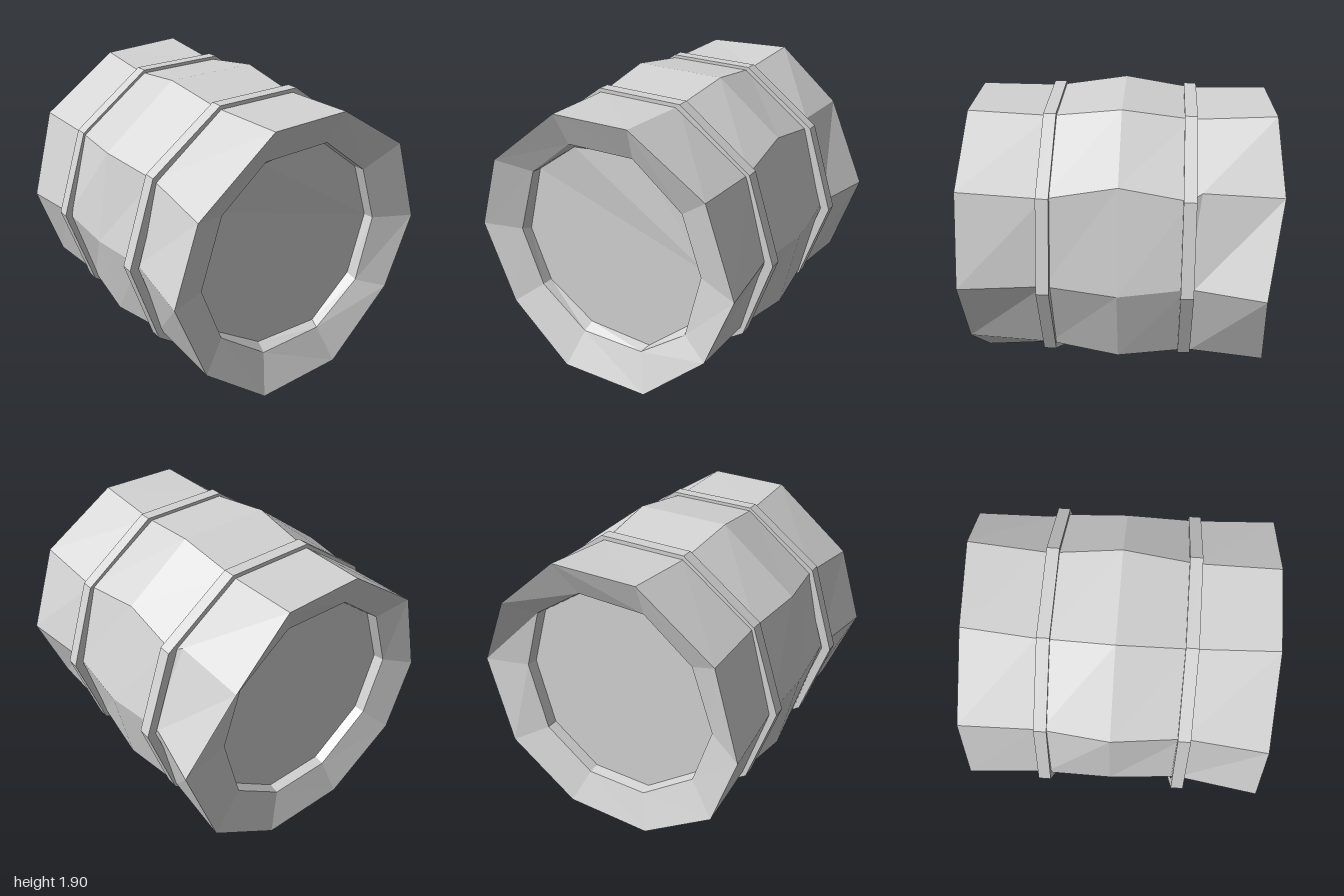
import * as THREE from 'three';

// Cross-sections: ten corners each, counter-clockwise from +x, as [x, y, z?]
const frontFloor = [[0.66, 0.99], [0.53, 1.375], [0.2, 1.635], [-0.26, 1.6, 0.84], [-0.58, 1.37], [-0.71, 0.9], [-0.57, 0.535], [-0.23, 0.31], [0.24, 0.295], [0.545, 0.57]];
const frontMouth = [[0.665, 0.99], [0.535, 1.375], [0.2, 1.64], [-0.27, 1.63], [-0.58, 1.375], [-0.725, 0.92], [-0.58, 0.53], [-0.24, 0.27], [0.22, 0.28], [0.555, 0.54]];
const frontRim = [[0.94, 0.97], [0.745, 1.54], [0.24, 1.86], [-0.29, 1.85], [-0.81, 1.44], [-0.975, 0.94], [-0.76, 0.39], [-0.32, 0.03, 1], [0.3, 0.03], [0.75, 0.47]];
const frontWaist = [[0.88, 0.97], [0.735, 1.505], [0.25, 1.84], [-0.31, 1.84], [-0.77, 1.49], [-0.9, 0.95], [-0.76, 0.42], [-0.3, 0.075], [0.27, 0.075], [0.74, 0.43]];
const belly = [[0.9, 0.92], [0.705, 1.575], [0.28, 1.9], [-0.34, 1.9], [-0.83, 1.52], [-0.93, 0.92], [-0.81, 0.36], [-0.32, 0], [0.31, 0.01], [0.79, 0.375]];
const backWaist = [[0.87, 0.97], [0.72, 1.505], [0.26, 1.84], [-0.31, 1.84], [-0.78, 1.5], [-0.93, 0.94], [-0.77, 0.41], [-0.3, 0.075], [0.27, 0.075], [0.75, 0.41]];
const backDent = backWaist.map((p, i) => (i === 1 ? [0.68, 1.54, -0.505] : p));
const backRim = [[0.975, 0.97, -0.91], [0.68, 1.52, -1], [0.28, 1.875, -0.965], [-0.28, 1.86, -0.935], [-0.79, 1.5], [-0.955, 0.9], [-0.79, 0.39], [-0.3, 0.04], [0.3, 0.04], [0.78, 0.38]];
const backMouth = [[0.65, 1.0], [0.52, 1.43], [0.18, 1.66], [-0.28, 1.65], [-0.6, 1.4], [-0.74, 0.98], [-0.61, 0.57], [-0.24, 0.285], [0.19, 0.28], [0.53, 0.53]];

const ring = (pts, z) => pts.map(([x, y, pz = z]) => [x, y, pz]);

function geometryFrom(positions) {
  const g = new THREE.BufferGeometry();
  g.setAttribute('position', new THREE.Float32BufferAttribute(positions.flat(), 3));
  g.computeVertexNormals();
  return g;
}

// Skin through successive rings, ordered from front to back
function loft(rings) {
  const out = [];
  for (let r = 0; r < rings.length - 1; r++) {
    const a = rings[r], b = rings[r + 1], n = a.length;
    for (let i = 0; i < n; i++) {
      const j = (i + 1) % n;
      out.push(a[i], b[i], b[j], a[i], b[j], a[j]);
    }
  }
  return geometryFrom(out);
}

// Fan across a ring; dir is 1 facing front, -1 facing back
function lid(pts, dir) {
  const out = [];
  for (let i = 1; i < pts.length - 1; i++) {
    out.push(pts[0], ...(dir > 0 ? [pts[i], pts[i + 1]] : [pts[i + 1], pts[i]]));
  }
  return geometryFrom(out);
}

export function createModel() {
  const group = new THREE.Group();
  group.name = 'barrel';
  const grey = new THREE.MeshStandardMaterial({ color: 0xd4d4d4, flatShading: true });
  grey.name = 'grey';
  const add = (name, geometry) => {
    const mesh = new THREE.Mesh(geometry, grey);
    mesh.name = name;
    group.add(mesh);
    return mesh;
  };

  const floorF = ring(frontFloor, 0.81);
  const mouthF = ring(frontMouth, 0.88);
  const rimF = ring(frontRim, 0.98);
  const rimB = ring(backRim, -0.945);
  const mouthB = ring(backMouth, -0.86);
  const floorB = ring(backMouth.map(([x, y]) => [x * 0.985, 0.96 + (y - 0.96) * 0.985]), -0.79);

  // Staved wall, funnel-shaped rims and recessed ends
  add('barrelWall', loft([rimF, ring(frontWaist, 0.45), ring(belly, 0), ring(backWaist, -0.43), ring(backDent, -0.475), rimB]));
  add('frontRim', loft([floorF, mouthF, rimF]));
  add('backRim', loft([rimB, mouthB, floorB]));
  add('frontLid', lid(floorF, 1));
  add('backLid', lid(floorB, -1));

  // Ten-sided hoops
  const band = [[0.9, -0.04], [0.96, -0.04], [0.96, 0.04], [0.9, 0.04]].map(([r, h]) => new THREE.Vector2(r, h));
  for (const [name, z] of [['frontHoop', 0.452], ['backHoop', -0.432]]) {
    const hoop = new THREE.LatheGeometry(band, 10, Math.PI / 2);
    add(name, hoop.rotateX(Math.PI / 2)).position.set(-0.018, 0.953, z);
  }
  return group;
}
